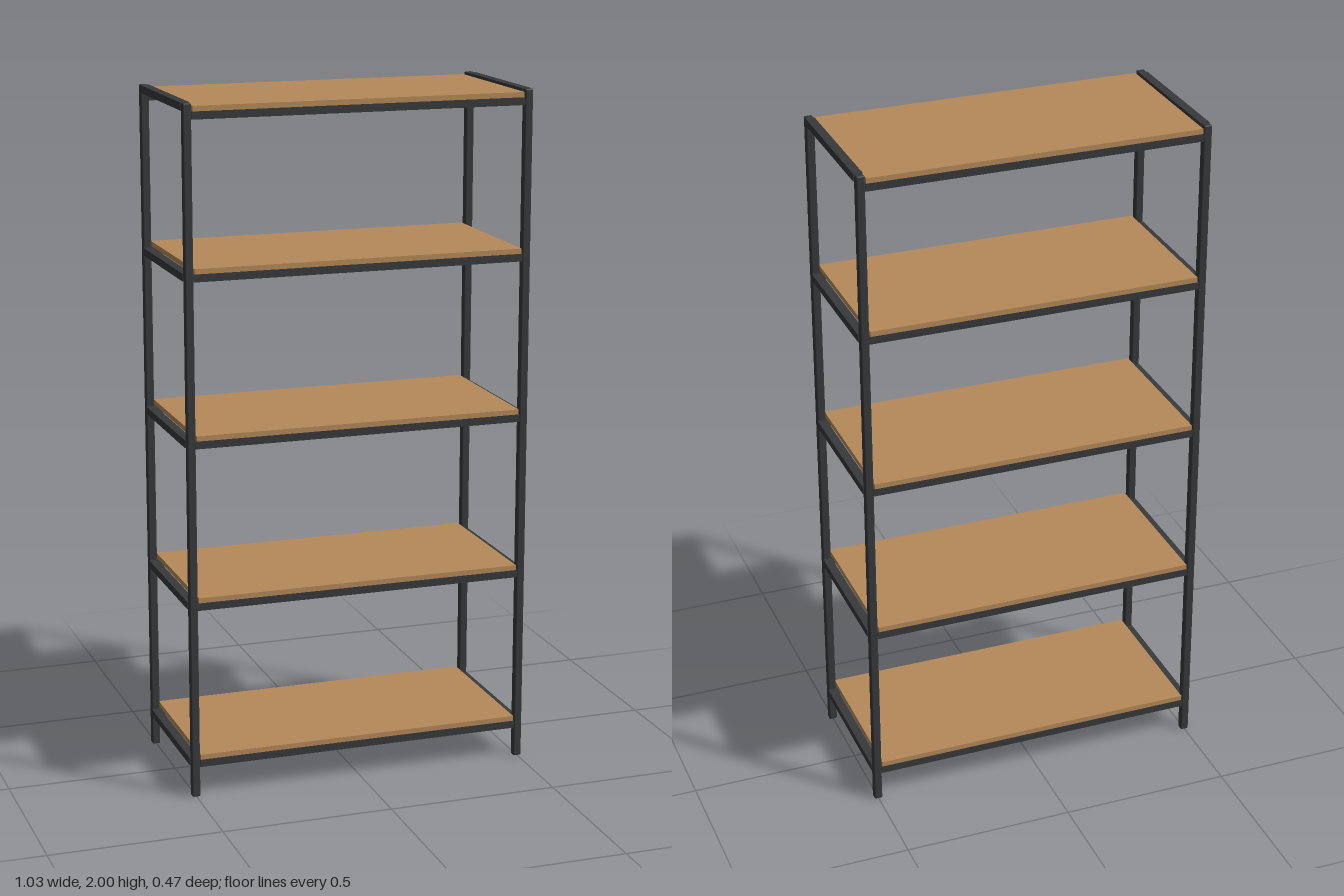
import * as THREE from 'three';
import { RoundedBoxGeometry } from 'three/addons/geometries/RoundedBoxGeometry.js';

export function createModel() {
  const model = new THREE.Group();
  model.name = 'shelvingUnit';

  const metal = new THREE.MeshStandardMaterial({ color: 0x37393b });
  metal.name = 'dark metal';
  const wood = new THREE.MeshStandardMaterial({ color: 0xb58a59 });
  wood.name = 'wood';

  const postX = 0.5, postZ = 0.222, tube = 0.024;
  const railHeight = 0.022, boardHeight = 0.015;

  function add(parent, name, geometry, material, x, y, z) {
    const mesh = new THREE.Mesh(geometry, material);
    mesh.name = name;
    mesh.position.set(x, y, z);
    parent.add(mesh);
  }

  // Corner posts with softly rounded ends
  const postGeometry = new RoundedBoxGeometry(tube, 2, tube, 2, 0.004);
  for (const x of [-postX, postX]) {
    for (const z of [-postZ, postZ]) {
      add(model, 'post', postGeometry, metal, x, 1, z);
    }
  }

  // Shelves: a board on long rails, tied by side rails between the posts
  const longRail = new THREE.BoxGeometry(2 * postX - tube, railHeight, tube);
  const sideRail = new THREE.BoxGeometry(0.026, railHeight, 2 * postZ - tube);
  const board = new THREE.BoxGeometry(0.97, boardHeight, 0.466);
  const railBottoms = [0.09, 0.562, 1.035, 1.508, 1.955];

  railBottoms.forEach((bottom, i) => {
    const shelf = new THREE.Group();
    shelf.name = 'shelf' + (i + 1);
    const railY = bottom + railHeight / 2;
    // The top side rails close the frame at the very top
    const sideY = i === railBottoms.length - 1 ? 2 - railHeight / 2 : railY;
    for (const side of [-1, 1]) {
      add(shelf, 'longRail', longRail, metal, 0, railY, side * postZ);
      add(shelf, 'sideRail', sideRail, metal, side * postX, sideY, 0);
    }
    add(shelf, 'board', board, wood, 0, bottom + railHeight + boardHeight / 2, 0);
    model.add(shelf);
  });

  return model;
}
